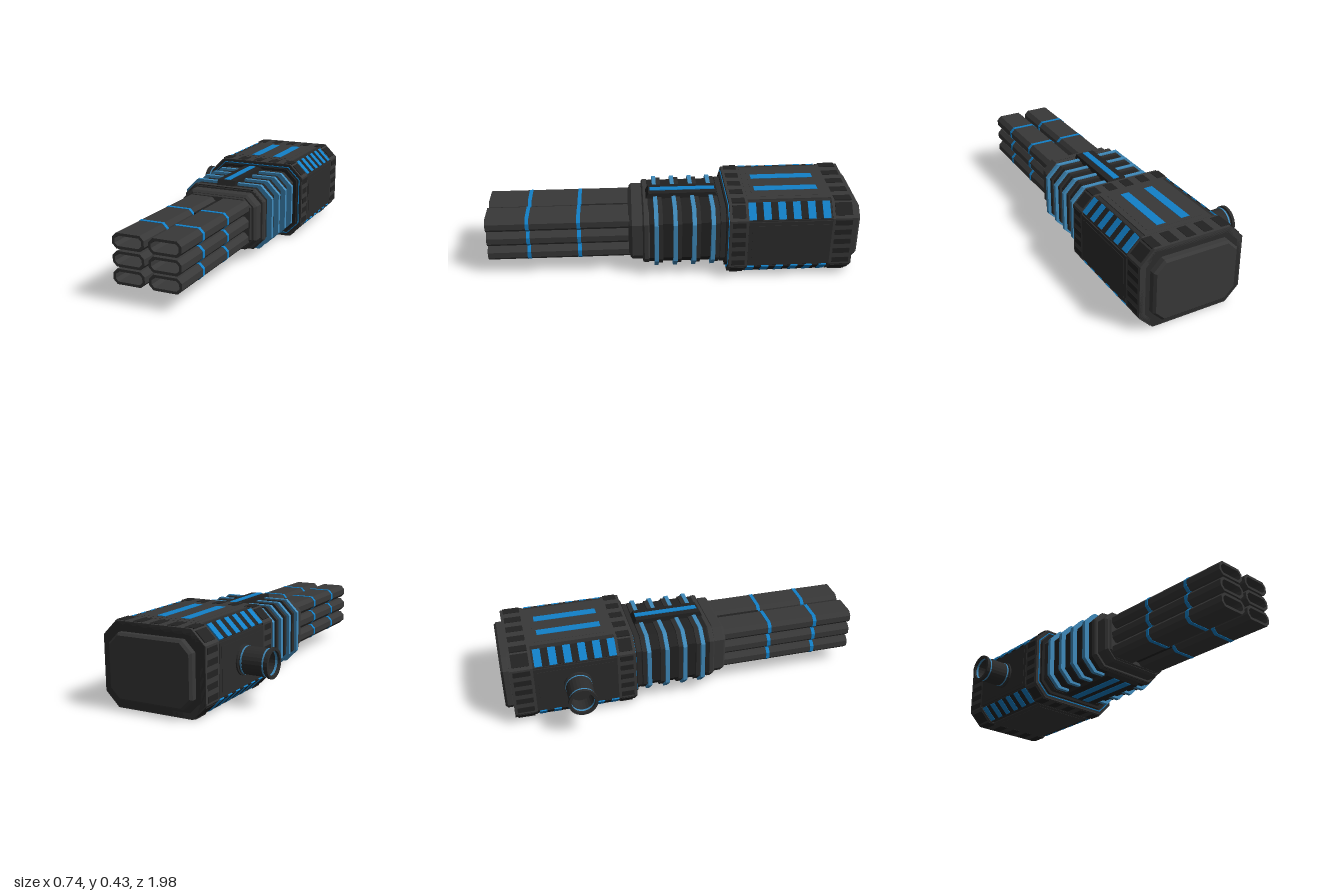
import * as THREE from 'three';

const CX = 0.083, CY = 0.215; // axis of the main housing

const paint = (color) => new THREE.MeshStandardMaterial({ color });

// Octagon: a w x h rectangle with corners cut by c
function octagon(Type, w, h, c) {
  const a = w / 2, b = h / 2;
  return new Type([
    [-a + c, -b], [a - c, -b], [a, -b + c], [a, b - c],
    [a - c, b], [-a + c, b], [-a, b - c], [-a, -b + c],
  ].map(([x, y]) => new THREE.Vector2(x, y)));
}

export function createModel() {
  const model = new THREE.Group();
  const grey = paint(0x383838), dark = paint(0x222222), mid = paint(0x2c2c2c);
  const blue = paint(0x1280c8), paleBlue = paint(0x3f8abb);

  function add(name, geometry, material, x = 0, y = 0, z = 0) {
    const mesh = new THREE.Mesh(geometry, material);
    mesh.name = name;
    mesh.position.set(x, y, z);
    model.add(mesh);
    return mesh;
  }
  const box = (name, w, h, d, material, x, y, z) =>
    add(name, new THREE.BoxGeometry(w, h, d), material, x, y, z);

  // Octagonal prism along z; wall > 0 makes it a tube, bevel softens both ends
  function prism(name, w, h, c, z0, z1, material, { x = CX, y = CY, wall = 0, bevel = 0 } = {}) {
    const shape = octagon(THREE.Shape, w, h, c);
    if (wall) shape.holes.push(octagon(THREE.Path, w - 2 * wall, h - 2 * wall, Math.max(c - wall * 0.59, 0.003)));
    const geometry = new THREE.ExtrudeGeometry(shape, {
      depth: z1 - z0 - 2 * bevel, bevelEnabled: bevel > 0, bevelSegments: 1,
      bevelSize: bevel, bevelThickness: bevel, bevelOffset: -bevel,
    });
    return add(name, geometry, material, x, y, z0 + bevel);
  }

  // Side profile of a raised strip with sloped ends, extruded across x
  function slopedStrip(name, width, z0, z1, y0, y1, slope, material, x) {
    const low = y1 < y0;
    const points = [[-z0, y0], [-z0 - slope, y1], [-z1 + slope, y1], [-z1, y0]]
      .map(([u, v]) => new THREE.Vector2(u, v));
    const geometry = new THREE.ExtrudeGeometry(new THREE.Shape(low ? points.reverse() : points),
      { depth: width, bevelEnabled: false });
    geometry.translate(0, 0, -width / 2).rotateY(Math.PI / 2);
    return add(name, geometry, material, x);
  }

  // Rear housing
  prism('housing', 0.556, 0.42, 0.072, -0.94, -0.28, mid);
  prism('housingFrontCollar', 0.564, 0.428, 0.074, -0.38, -0.28, grey, { wall: 0.03 });
  prism('housingRearCollar', 0.564, 0.428, 0.074, -0.94, -0.82, grey, { wall: 0.03 });
  prism('housingFrontTrim', 0.535, 0.395, 0.068, -0.281, -0.276, blue, { wall: 0.005 });
  prism('housingFrontLip', 0.505, 0.372, 0.062, -0.29, -0.268, dark, { wall: 0.02 });

  // Raised panels on top, bottom and both sides
  for (const s of [-1, 1]) {
    box('horizontalPanel', 0.37, 0.012, 0.44, grey, CX, CY + s * 0.209, -0.6);
    box('horizontalPanelInset', 0.31, 0.005, 0.38, grey, CX, CY + s * 0.2135, -0.6);
    box('sidePanel', 0.012, 0.26, 0.44, mid, CX + s * 0.278, CY, -0.6);
    box('sidePanelInset', 0.004, 0.22, 0.4, mid, CX + s * 0.284, CY, -0.6);
  }
  for (const s of [-1, 1]) box('topStripe', 0.048, 0.006, 0.34, blue, CX + s * 0.068, 0.43, -0.6);

  // Dark blocks around both collars
  for (const [z, depth] of [[-0.33, 0.07], [-0.88, 0.09]]) {
    for (const s of [-1, 1]) {
      for (let i = -2; i <= 2; i++) {
        if (Math.abs(i * 0.1) < 0.21) box('collarBlock', 0.05, 0.006, depth, dark, CX + i * 0.1 * 0.95, CY + s * 0.213, z);
        box('collarSideBlock', 0.006, 0.03, depth, dark, CX + s * 0.281, CY + i * 0.057, z);
      }
    }
  }

  // Blue and dark bars along the four cut corners of the housing
  for (const sx of [-1, 1]) for (const sy of [-1, 1]) {
    const corner = (name, length, depth, material, z, out) => {
      const mesh = box(name, length, 0.008, depth, material, CX + sx * (0.242 + out), CY + sy * (0.174 + out), z);
      mesh.rotation.z = -sx * sy * Math.PI / 4;
    };
    for (let i = 0; i < 6; i++) corner('cornerStripe', 0.095, 0.04, blue, -0.4 - i * 0.078, 0.002);
    for (let i = 0; i < 5; i++) corner('cornerRib', 0.095, 0.037, dark, -0.439 - i * 0.078, 0.001);
    corner('cornerBlock', 0.07, 0.07, dark, -0.33, 0.003);
    corner('cornerBlock', 0.07, 0.09, dark, -0.88, 0.003);
  }

  // Rear plate with upright ribs
  prism('rearPlate', 0.46, 0.33, 0.055, -0.982, -0.93, grey, { bevel: 0.012 });
  for (let i = 0; i < 6; i++) {
    const shape = octagon(THREE.Shape, 0.04, 0.28, 0.016);
    const rib = new THREE.ExtrudeGeometry(shape, { depth: 0.033, bevelEnabled: false });
    rib.translate(-0.02, 0, -0.0165).rotateY(Math.PI / 2).translate(0, 0, 0.02);
    add('rearRib', rib, mid, CX - 0.165 + i * 0.066, CY, -0.98);
  }

  // Neck with glowing rings
  prism('neck', 0.45, 0.326, 0.058, -0.3, 0.17, dark);
  prism('neckRearFlange', 0.465, 0.34, 0.06, -0.275, -0.24, mid);
  prism('neckFrontFlange', 0.465, 0.33, 0.06, 0.135, 0.172, grey, { bevel: 0.008 });
  for (let i = 0; i < 4; i++) {
    const z = 0.1 - i * 0.1;
    prism('neckRing', 0.508, 0.354, 0.068, z - 0.011, z + 0.011, paleBlue, { wall: 0.03 });
    prism('neckRingBacking', 0.475, 0.342, 0.064, z - 0.035, z - 0.011, mid, { wall: 0.02 });
  }

  // Raised strips above and below the neck
  slopedStrip('topRail', 0.104, -0.25, 0.16, 0.36, 0.408, 0.025, dark, CX);
  slopedStrip('topRailStripe', 0.034, -0.245, 0.148, 0.36, 0.412, 0.022, blue, CX);
  slopedStrip('bottomRail', 0.224, -0.25, 0.16, 0.07, 0.03, 0.025, dark, CX);
  for (const s of [-1, 1])
    slopedStrip('bottomRailStripe', 0.043, -0.245, 0.153, 0.07, 0.026, 0.022, blue, CX + s * 0.041);

  // Stepped barrel collar
  prism('barrelCollar', 0.43, 0.296, 0.055, 0.16, 0.24, grey, { bevel: 0.012 });
  prism('barrelCollarStep', 0.385, 0.27, 0.045, 0.2, 0.247, grey, { bevel: 0.008 });

  // Six hollow barrels in two columns
  for (const y of [0.3, 0.213, 0.127]) {
    for (const s of [-1, 1]) {
      const x = CX + s * 0.095;
      prism('barrel', 0.167, 0.076, 0.022, 0.24, 1, grey, { x, y, wall: 0.013 });
      prism('barrelFloor', 0.15, 0.06, 0.016, 0.24, 0.3, dark, { x, y });
      for (const z of [0.51, 0.78])
        prism('barrelBand', 0.171, 0.08, 0.023, z - 0.01, z + 0.01, blue, { x, y, wall: 0.019 });
    }
    box('barrelBridge', 0.03, 0.038, 0.27, dark, CX, y, 0.37);
  }

  // Hollow side port on the right of the housing
  const port = new THREE.Group();
  port.name = 'sidePort';
  port.position.set(-0.19, 0.217, -0.595);
  port.rotation.z = Math.PI / 2;
  const lathe = (name, profile, material) => {
    const geometry = new THREE.LatheGeometry(profile.map(([r, h]) => new THREE.Vector2(r, h)), 24);
    const mesh = new THREE.Mesh(geometry.toNonIndexed(), material.clone());
    mesh.geometry.computeVertexNormals();
    mesh.material.side = THREE.DoubleSide;
    mesh.name = name;
    port.add(mesh);
  };
  lathe('portTube', [[0.077, 0], [0.077, 0.022], [0.07, 0.024], [0.07, 0.162], [0.077, 0.164],
    [0.077, 0.18], [0.062, 0.18], [0.058, 0.08], [0, 0.08]], mid);
  for (const h of [0.035, 0.151])
    lathe('portBand', [[0.069, h - 0.004], [0.0715, h - 0.004], [0.0715, h + 0.004], [0.069, h + 0.004]], paleBlue);
  lathe('portInnerBand', [[0.0605, 0.168], [0.0595, 0.156]], paleBlue);
  model.add(port);

  return model;
}
